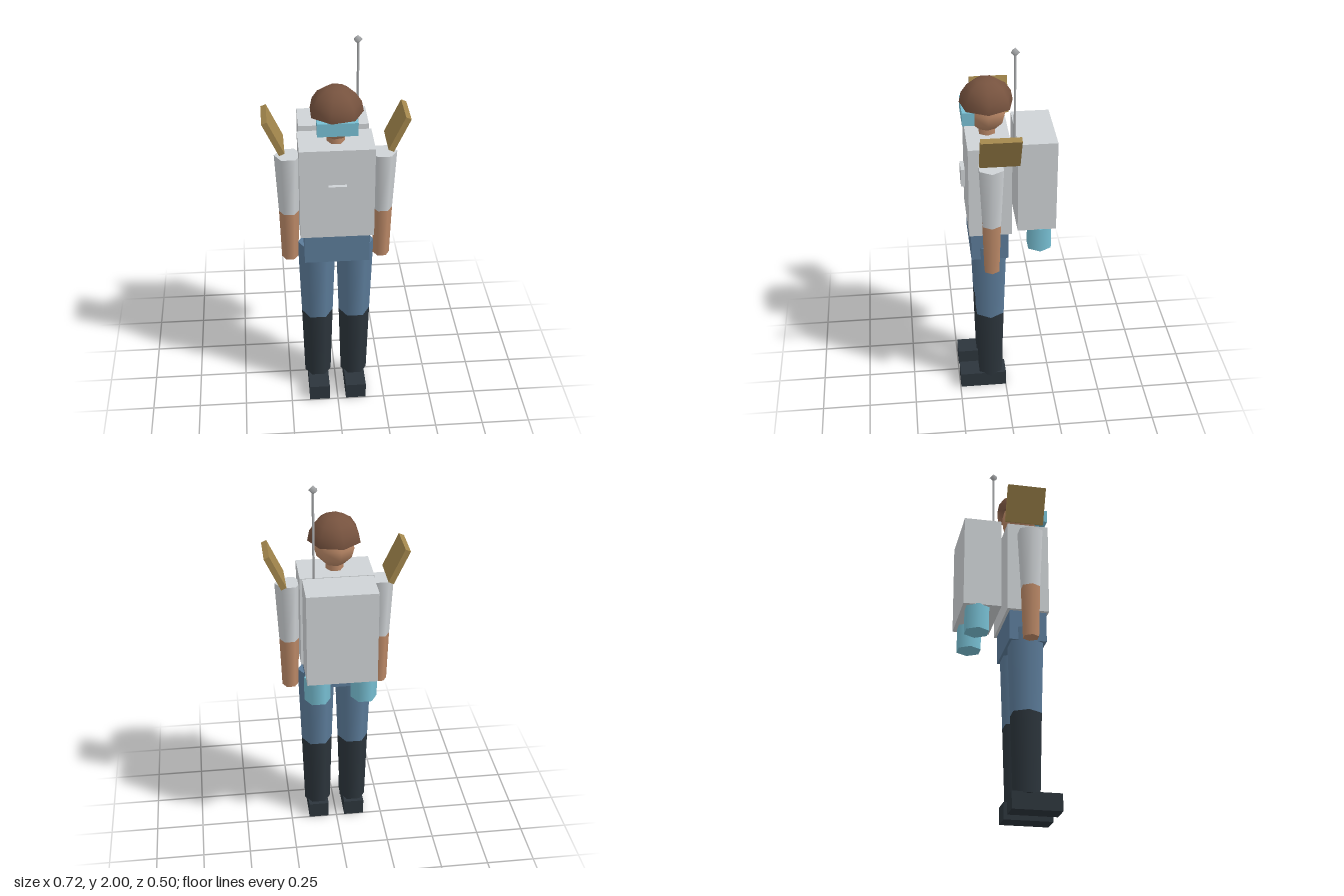
import * as THREE from 'three';

const mat = (name, color, side = THREE.FrontSide) => {
  const m = new THREE.MeshStandardMaterial({ color, side });
  m.name = name;
  return m;
};

export function createModel() {
  const shell = mat('pale grey', 0xcfd3d6);
  const metal = mat('antenna grey', 0xb0b2b4);
  const denim = mat('denim blue', 0x5c7c9a);
  const boot = mat('boot black', 0x2c353c);
  const skin = mat('skin', 0xbd8a68);
  const hair = mat('helmet brown', 0x77533f, THREE.DoubleSide);
  const glass = mat('visor cyan', 0x78c0d4);
  const brass = mat('brass', 0xa2864c);

  const model = new THREE.Group();
  model.name = 'soldier';

  const add = (name, geometry, material, x, y, z) => {
    const mesh = new THREE.Mesh(geometry, material);
    mesh.name = name;
    mesh.position.set(x, y, z);
    model.add(mesh);
    return mesh;
  };
  const box = (name, material, w, h, d, x, y, z) =>
    add(name, new THREE.BoxGeometry(w, h, d), material, x, y, z);
  // Smooth six-sided tube between two heights, corners pointing along x
  const tube = (name, material, rTop, rBottom, y0, y1, x, z) =>
    add(name, new THREE.CylinderGeometry(rTop, rBottom, y1 - y0, 6).rotateY(Math.PI / 2),
      material, x, (y0 + y1) / 2, z);

  // Body
  box('torso', shell, 0.37, 0.49, 0.214, 0, 1.265, 0.081);
  box('chestPlate', shell, 0.09, 0.096, 0.02, 0, 1.277, 0.205);
  box('pelvis', denim, 0.33, 0.16, 0.19, 0, 0.942, 0.083);

  // Head
  tube('neck', skin, 0.045, 0.045, 1.5, 1.58, 0, 0.08);
  add('head', new THREE.SphereGeometry(0.104, 7, 6).rotateY(Math.PI), skin, 0, 1.632, 0.08);
  box('goggles', glass, 0.196, 0.068, 0.06, 0, 1.631, 0.177);
  add('helmet', new THREE.SphereGeometry(0.135, 7, 4, 0, Math.PI * 2, 0, Math.PI / 2)
    .rotateY(Math.PI), hair, 0, 1.665, 0.081);

  // Backpack with antenna
  box('backpack', shell, 0.352, 0.49, 0.194, 0, 1.277, -0.153);
  tube('antennaRod', metal, 0.006, 0.006, 1.5, 1.98, 0.117, -0.045);
  add('antennaTip', new THREE.SphereGeometry(0.023, 5, 2).rotateY(Math.PI), metal, 0.115, 1.978, -0.045);

  // Mirrored parts
  for (const [side, s] of [['left', 1], ['right', -1]]) {
    tube(side + 'Sleeve', shell, 0.068, 0.051, 1.12, 1.44, s * 0.235, 0.081);
    tube(side + 'Forearm', skin, 0.051, 0.042, 0.845, 1.12, s * 0.235, 0.081);
    tube(side + 'Thigh', denim, 0.097, 0.082, 0.49, 0.93, s * 0.098, 0.082);
    tube(side + 'Boot', boot, 0.082, 0.07, 0.08, 0.49, s * 0.098, 0.082);
    box(side + 'Foot', boot, 0.108, 0.087, 0.248, s * 0.098, 0.0435, 0.123);
    tube(side + 'Thruster', glass, 0.067, 0.067, 0.902, 1.035, s * 0.118, -0.172);
    const pad = box(side + 'ShoulderPad', brass, 0.029, 0.19, 0.195, s * 0.305, 1.559, 0.043);
    pad.rotation.z = -s * 0.436;
  }

  return model;
}
